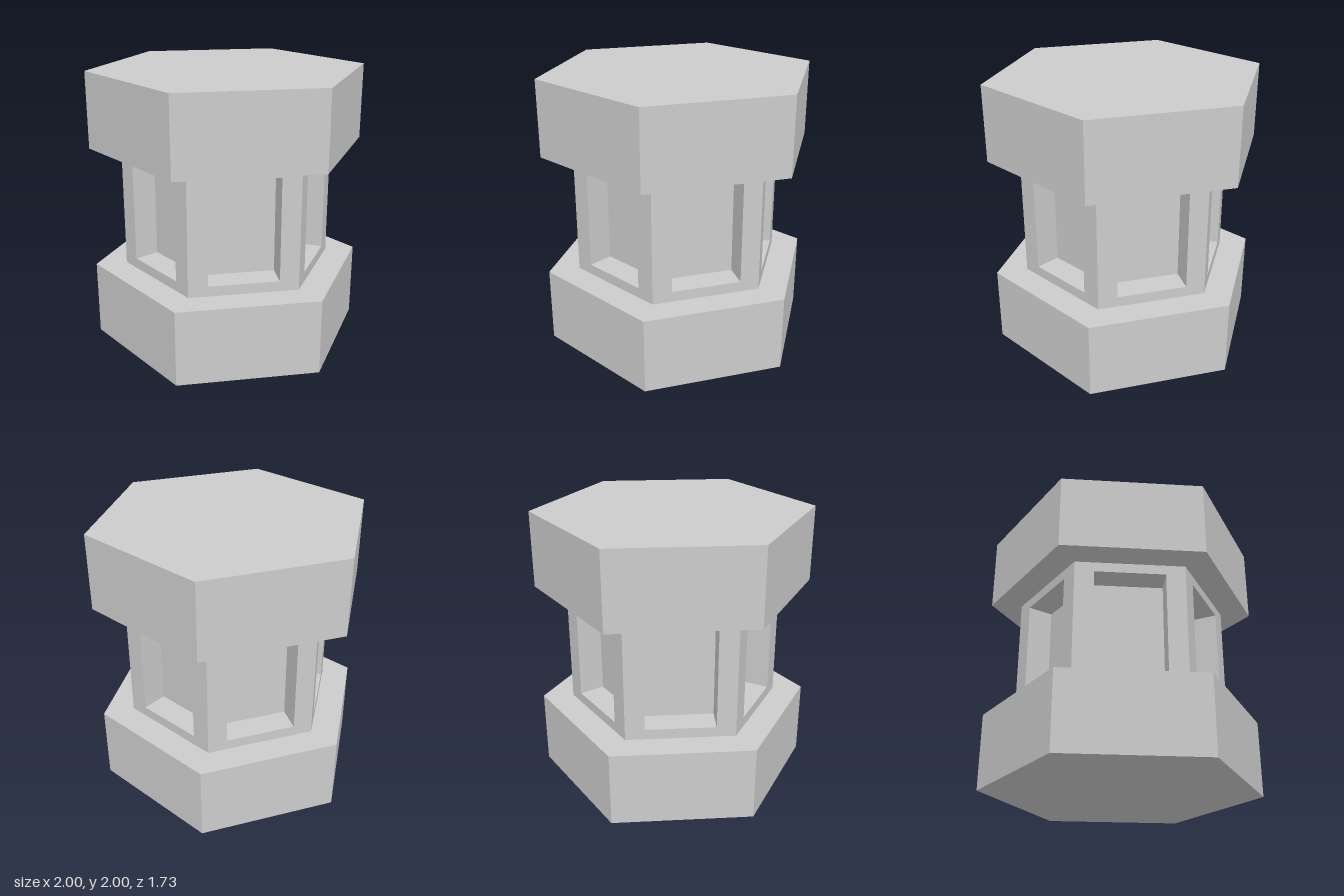
import * as THREE from 'three';

const TAN30 = Math.tan(Math.PI / 6);
const APOTHEM = 0.671;  // distance from axis to a shaft face
const DEPTH = 0.186;    // depth of the recessed panels
const LOW = 0.553, HIGH = 1.449;

const material = new THREE.MeshStandardMaterial({ color: 0xcccccc, flatShading: true });

// Six-sided prism with a flat side to the front
function hexPrism(name, radius, y0, y1) {
  const geometry = new THREE.CylinderGeometry(radius, radius, y1 - y0, 6, 1, false, Math.PI / 6);
  const mesh = new THREE.Mesh(geometry, material);
  mesh.name = name;
  mesh.position.y = (y0 + y1) / 2;
  return mesh;
}

function rectangle(path, halfWidth, y0, y1) {
  path.moveTo(-halfWidth, y0);
  path.lineTo(halfWidth, y0);
  path.lineTo(halfWidth, y1);
  path.lineTo(-halfWidth, y1);
  path.closePath();
  return path;
}

// Window-like frame, its outer sides mitred to meet the neighbouring frames
function frameGeometry() {
  const shape = rectangle(new THREE.Shape(), APOTHEM * TAN30, LOW, HIGH);
  shape.holes.push(rectangle(new THREE.Path(), 0.25, 0.628, 1.377));
  const geometry = new THREE.ExtrudeGeometry(shape, { depth: DEPTH, bevelEnabled: false });
  geometry.translate(0, 0, APOTHEM - DEPTH);
  const p = geometry.attributes.position;
  for (let i = 0; i < p.count; i++) {
    if (Math.abs(p.getX(i)) > 0.3) p.setX(i, Math.sign(p.getX(i)) * p.getZ(i) * TAN30);
  }
  geometry.computeVertexNormals();
  return geometry;
}

export function createModel() {
  const model = new THREE.Group();
  model.name = 'hexagonalPillar';

  // Wide blocks at the bottom and top
  model.add(hexPrism('base', 1, 0, LOW));
  model.add(hexPrism('cap', 1, HIGH, 2));

  // Inner core forms the floors of the recesses
  const core = (APOTHEM - DEPTH) / Math.cos(Math.PI / 6);
  model.add(hexPrism('shaftCore', core, LOW, HIGH));

  // One frame on each side of the shaft
  const frame = frameGeometry();
  for (let i = 0; i < 6; i++) {
    const mesh = new THREE.Mesh(frame, material);
    mesh.name = `panelFrame${i + 1}`;
    mesh.rotation.y = i * Math.PI / 3;
    model.add(mesh);
  }
  return model;
}
